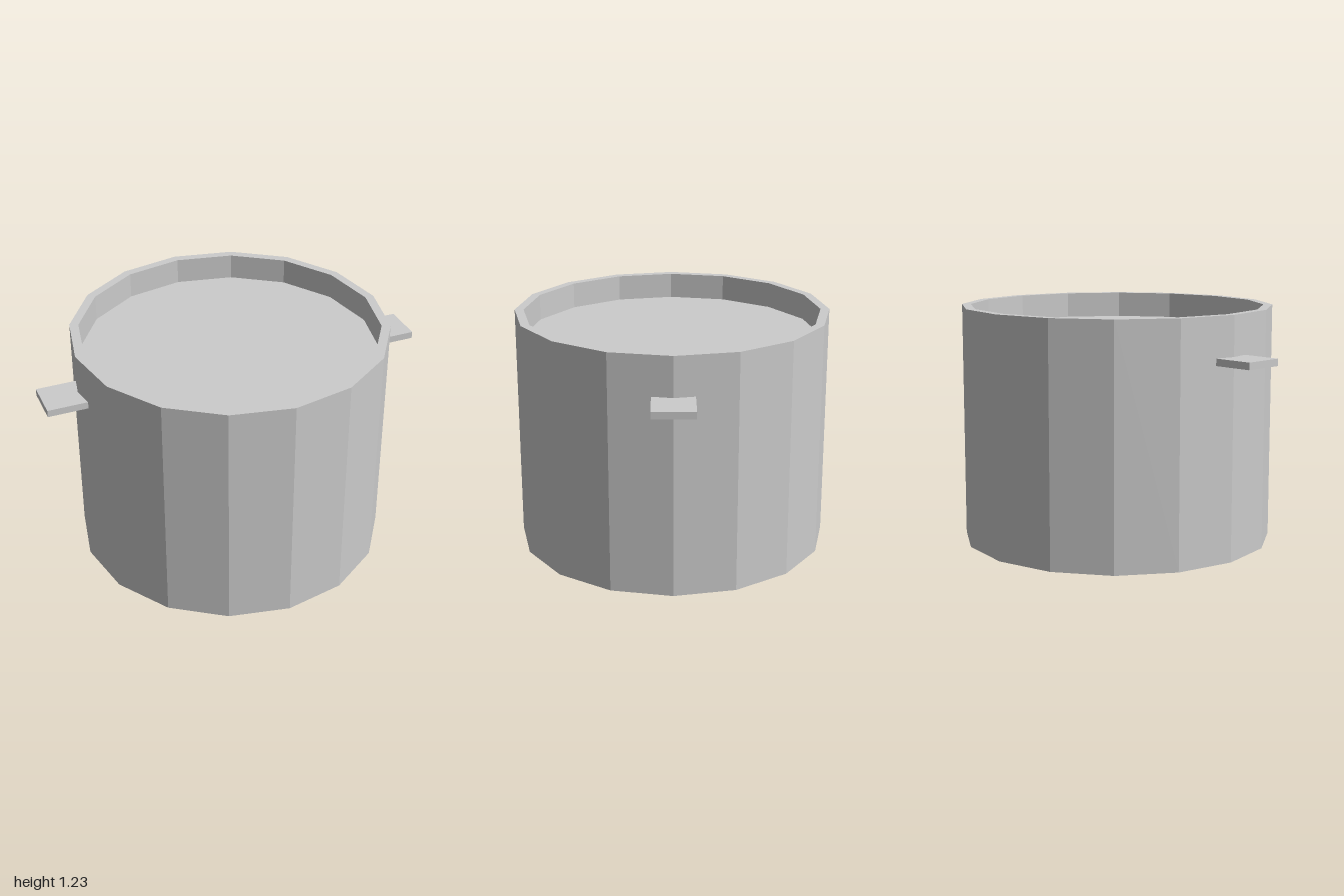
import * as THREE from 'three';

const SIDES = 16;
const RADIUS = 0.812, INNER = 0.766, HEIGHT = 1.23, CONTENT_Y = 1.095;

export function createModel() {
  const group = new THREE.Group();
  group.name = 'pot';
  const material = new THREE.MeshStandardMaterial({ color: 0xcccccc, flatShading: true });

  function add(name, geometry, x = 0, y = 0) {
    const mesh = new THREE.Mesh(geometry, material);
    mesh.name = name;
    mesh.position.set(x, y, 0);
    group.add(mesh);
  }

  // Faceted body: base, outer wall, rim and short inner wall
  const profile = [
    [0, 0], [RADIUS, 0], [RADIUS, HEIGHT], [INNER, HEIGHT], [INNER, CONTENT_Y],
  ].map(([r, y]) => new THREE.Vector2(r, y));
  add('body', new THREE.LatheGeometry(profile, SIDES), -0.003);

  // Flat surface recessed below the rim
  const surface = new THREE.CircleGeometry(INNER, SIDES).rotateX(-Math.PI / 2);
  add('contents', surface, -0.003, CONTENT_Y);

  // Flat handle slabs on both sides
  for (const [name, side] of [['leftHandle', 1], ['rightHandle', -1]]) {
    add(name, new THREE.BoxGeometry(0.215, 0.036, 0.21), side * 0.8925, 1.008);
  }

  return group;
}
